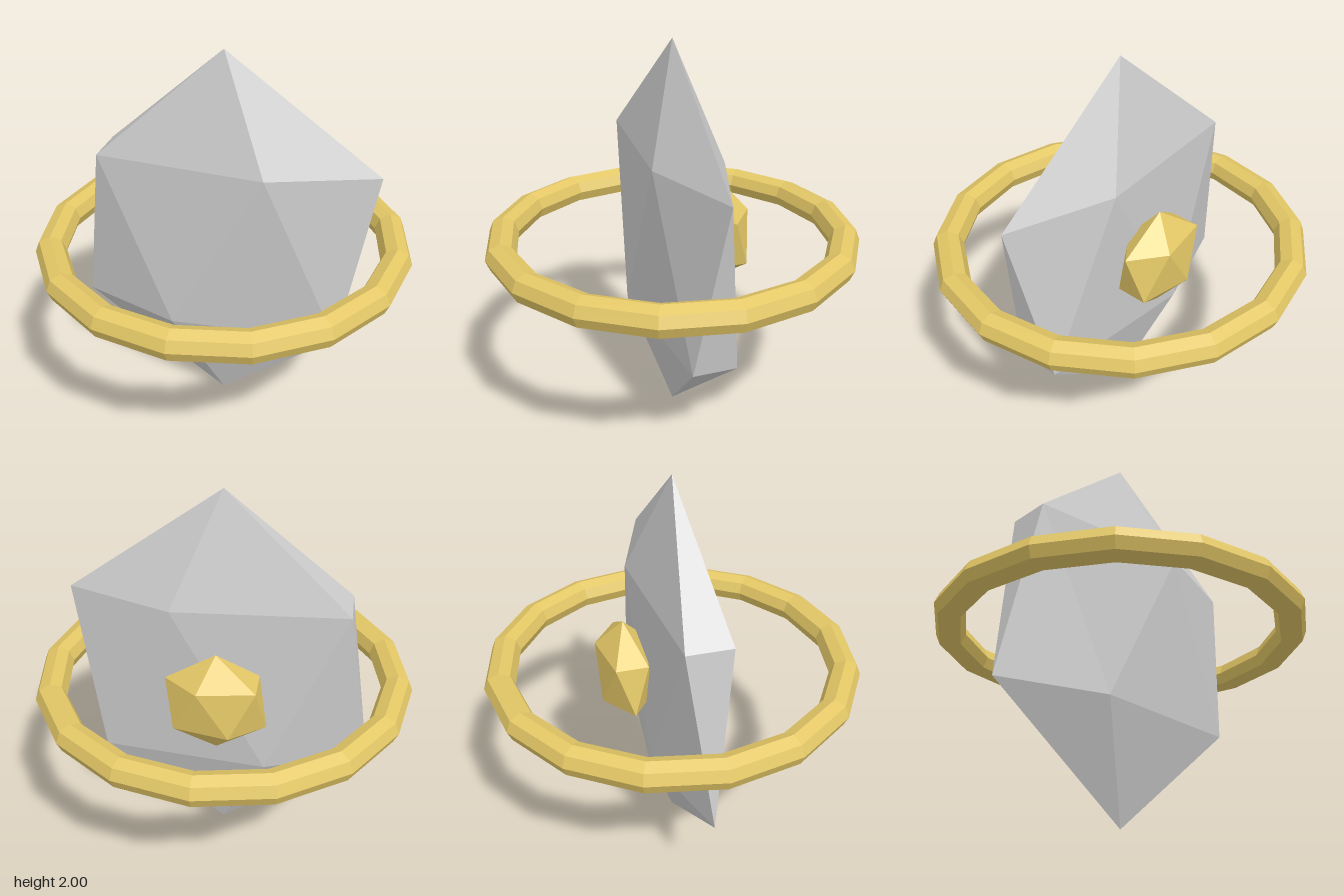
import * as THREE from 'three';
import { ConvexGeometry } from 'three/addons/geometries/ConvexGeometry.js';

// Stretched twenty-sided gem: two poles and two staggered rings of five points.
// rx and rz are the ring radii, h is the half height.
function gemGeometry(rx, h, rz) {
  const points = [new THREE.Vector3(0, h, 0), new THREE.Vector3(0, -h, 0)];
  const ringY = h / Math.sqrt(5);
  for (let i = 0; i < 5; i++) {
    const a = (i / 5) * Math.PI * 2;
    const x = rx * Math.cos(a), z = rz * Math.sin(a);
    points.push(new THREE.Vector3(x, ringY, z), new THREE.Vector3(-x, -ringY, -z));
  }
  return new ConvexGeometry(points);
}

export function createModel() {
  const group = new THREE.Group();
  const grey = new THREE.MeshStandardMaterial({ color: 0xcccccc, flatShading: true });
  const gold = new THREE.MeshStandardMaterial({ color: 0xe3c766, flatShading: true });

  const add = (name, geometry, material, y, z) => {
    const mesh = new THREE.Mesh(geometry, material);
    mesh.name = name;
    mesh.position.set(0, y, z);
    group.add(mesh);
  };

  // Tall flattened crystal
  add('crystal', gemGeometry(0.765, 1, 0.19), grey, 1, 0);

  // Small gem set into the crystal's back
  add('backGem', gemGeometry(0.25, 0.275, 0.137), gold, 1, -0.25);

  // Faceted ring lying flat around the crystal
  const ring = new THREE.TorusGeometry(0.872, 0.077, 8, 16).rotateX(Math.PI / 2);
  add('ring', ring, gold, 1, 0);

  return group;
}
